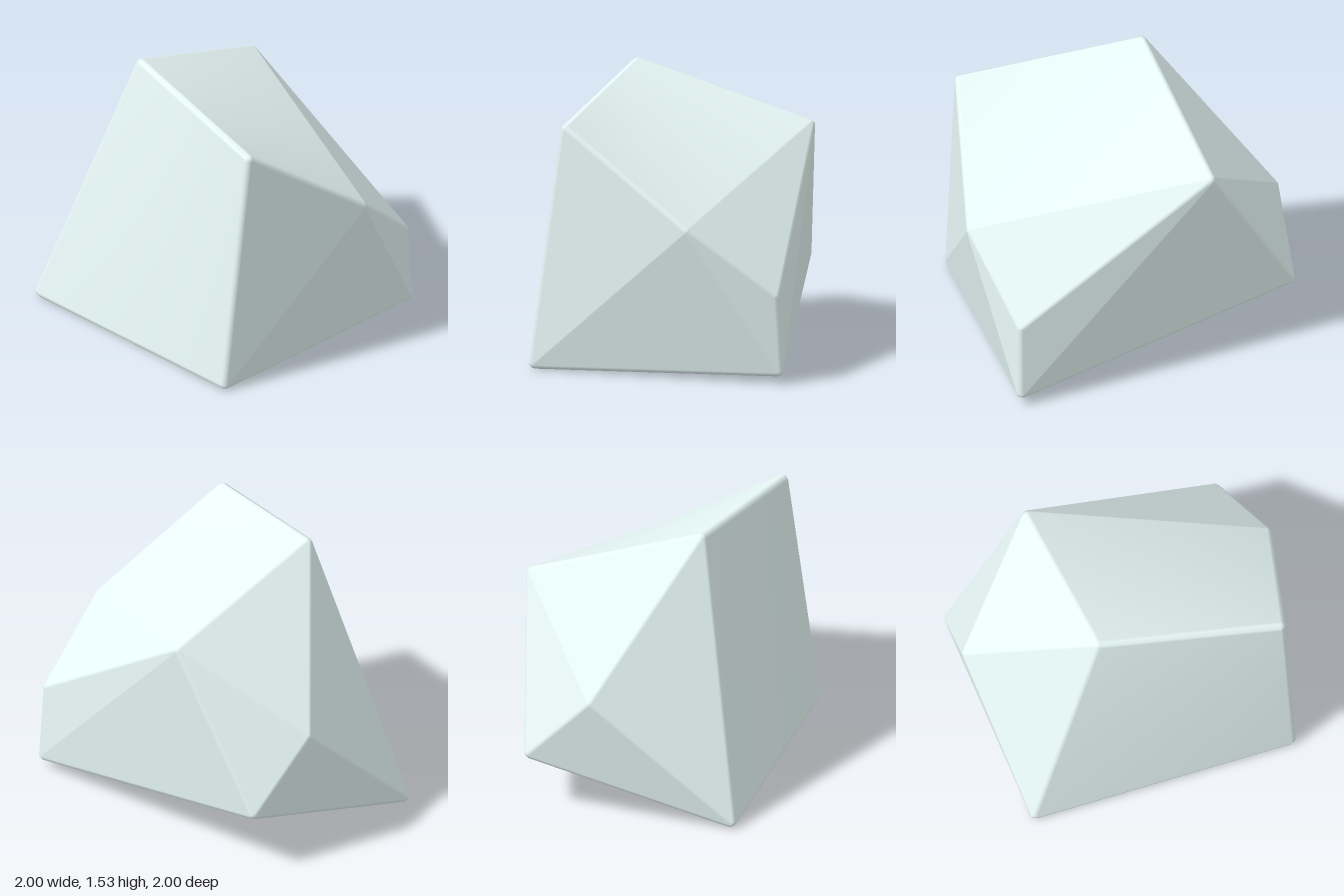
import * as THREE from 'three';

const RADIUS = 0.03; // edge rounding
const GRID = 8; // segments along edges and twisted facets
const ROUND = 3; // segments across a rounded edge

// Centres of the rounded corners
const CORNERS = Object.fromEntries(Object.entries({
  peak: [-0.45, 1.5, -0.03],
  frontTop: [-0.02, 1.345, 0.87],
  shoulder: [0.65, 0.85, 0.595],
  side: [0.945, 0.48, 0.22],
  backTop: [0.265, 1.185, -0.645],
  backFacet: [-0.425, 0.72, -0.785],
  backFoot: [-0.13, 0.345, -0.97],
  notch: [0.42, 0.207, -0.38],
  leftFoot: [0.97, 0.07, 0.21],
  frontFoot: [-0.17, 0.03, 0.97],
  rightFoot: [-0.97, 0.03, -0.24],
}).map(([name, c]) => [name, new THREE.Vector3(...c)]));

// Facets, counter-clockwise from outside; the two with four corners are twisted
const FACETS = [
  'peak frontTop shoulder backTop',
  'peak rightFoot frontFoot frontTop',
  'frontTop frontFoot shoulder',
  'shoulder frontFoot leftFoot',
  'shoulder leftFoot side',
  'shoulder side backTop',
  'side leftFoot backTop',
  'leftFoot notch backTop',
  'notch backFoot backTop',
  'peak backTop backFacet',
  'backTop backFoot backFacet',
  'backFacet backFoot rightFoot',
  'peak backFacet rightFoot',
  'frontFoot rightFoot notch',
  'leftFoot frontFoot notch',
  'rightFoot backFoot notch',
].map((f) => f.split(' '));

const mix = (a, b, t) => a.clone().lerp(b, t);

// Surface point: a core position pushed out along its normal
function offset(core, direction) {
  const n = direction.clone().normalize();
  return { p: core.clone().addScaledVector(n, RADIUS), n };
}

function boulderGeometry() {
  const positions = [], normals = [];
  const tri = (...verts) => verts.forEach(({ p, n }) => {
    positions.push(p.x, p.y, p.z);
    normals.push(n.x, n.y, n.z);
  });
  // Grid of quads over (u, v) in 0..1
  const sheet = (nu, nv, at) => {
    for (let i = 0; i < nu; i++) {
      for (let j = 0; j < nv; j++) {
        const [u, v, u1, v1] = [i / nu, j / nv, (i + 1) / nu, (j + 1) / nv];
        const [a, b, c, d] = [at(u, v), at(u1, v), at(u1, v1), at(u, v1)];
        tri(a, b, c);
        tri(a, c, d);
      }
    }
  };

  const edges = {}, around = {};
  for (const names of FACETS) {
    const count = names.length;
    const c = names.map((name) => CORNERS[name]);
    const n = c.map((p, k) => c[(k + 1) % count].clone().sub(p)
      .cross(c[(k + count - 1) % count].clone().sub(p)));

    // Facet surface
    if (count === 3) tri(...c.map((p, k) => offset(p, n[k])));
    else {
      const blend = (q, u, v) => mix(mix(q[0], q[1], u), mix(q[3], q[2], u), v);
      sheet(GRID, GRID, (u, v) => offset(blend(c, u, v), blend(n, u, v)));
    }
    names.forEach((name, k) => {
      const next = (k + 1) % count;
      edges[`${name} ${names[next]}`] = [n[k], n[next]];
      (around[name] ??= []).push(n[k].clone().normalize());
    });
  }

  // Rounded edges between neighbouring facets
  for (const [key, [na, nb]] of Object.entries(edges)) {
    const [a, b] = key.split(' ');
    if (a > b) continue;
    const [mb, ma] = edges[`${b} ${a}`];
    sheet(GRID, ROUND, (u, v) => offset(
      mix(CORNERS[a], CORNERS[b], u),
      mix(mix(ma, mb, u).normalize(), mix(na, nb, u).normalize(), v),
    ));
  }

  // Rounded corners: a fan of normals around their average
  for (const [name, list] of Object.entries(around)) {
    const axis = list.reduce((sum, n) => sum.add(n), new THREE.Vector3()).normalize();
    const e1 = list[0].clone().cross(axis).normalize();
    const e2 = axis.clone().cross(e1);
    const angle = (n) => Math.atan2(n.dot(e2), n.dot(e1));
    list.sort((a, b) => angle(a) - angle(b));
    list.forEach((n, k) => {
      const next = list[(k + 1) % list.length];
      const rim = (t) => offset(CORNERS[name], mix(n, next, t));
      for (let s = 0; s < ROUND; s++) {
        tri(offset(CORNERS[name], axis), rim(s / ROUND), rim((s + 1) / ROUND));
      }
    });
  }

  const geo = new THREE.BufferGeometry();
  geo.setAttribute('position', new THREE.Float32BufferAttribute(positions, 3));
  geo.setAttribute('normal', new THREE.Float32BufferAttribute(normals, 3));
  return geo;
}

export function createModel() {
  const boulder = new THREE.Mesh(
    boulderGeometry(),
    new THREE.MeshStandardMaterial({ color: 0xe8f9f8 }),
  );
  boulder.name = 'boulder';
  const group = new THREE.Group();
  group.name = 'rock';
  group.add(boulder);
  return group;
}
